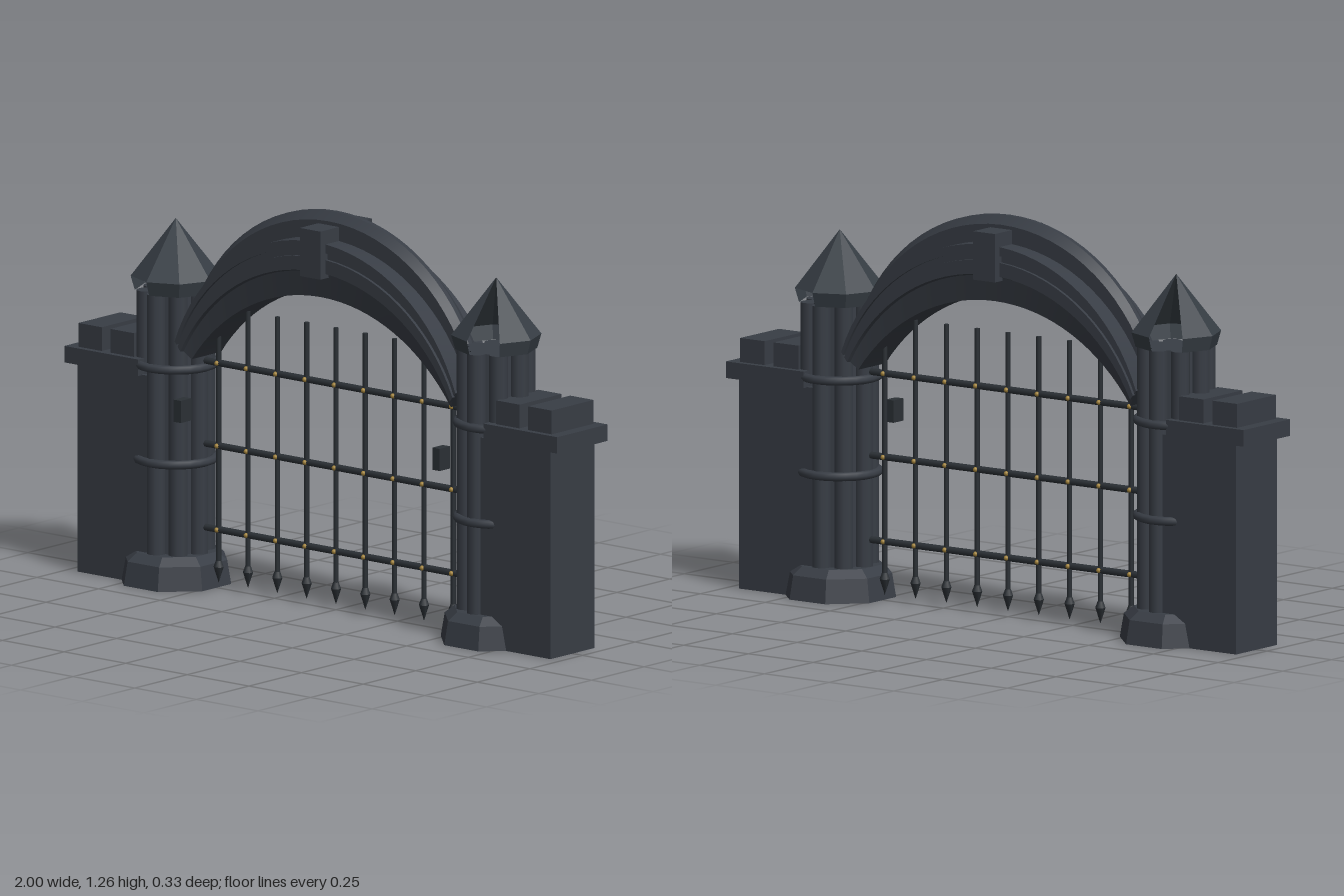
import * as THREE from 'three';
import { toCreasedNormals } from 'three/addons/utils/BufferGeometryUtils.js';

const mat = (name, color, side = THREE.FrontSide) => {
  const m = new THREE.MeshStandardMaterial({ color, side });
  m.name = name;
  return m;
};

export function createModel() {
  const stone = mat('dark stone', 0x383d45);
  const slate = mat('roof slate', 0x373e45, THREE.DoubleSide);
  const iron = mat('iron', 0x2b3035);
  const brass = mat('brass', 0xa5853c);
  const model = new THREE.Group();
  model.name = 'gateway';

  const add = (parent, name, geo, material, x = 0, y = 0, z = 0) => {
    const m = new THREE.Mesh(geo, material);
    m.name = name;
    m.position.set(x, y, z);
    parent.add(m);
    return m;
  };
  const box = (parent, name, x0, x1, y0, y1, z0, z1, material) =>
    add(parent, name, new THREE.BoxGeometry(x1 - x0, y1 - y0, z1 - z0), material,
      (x0 + x1) / 2, (y0 + y1) / 2, (z0 + z1) / 2);
  const flat = (geo) => toCreasedNormals(geo, 0.3);
  const cyl = (rt, rb, h, n, ...rest) => new THREE.CylinderGeometry(rt, rb, h, n, 1, ...rest);
  const step = Math.PI / 4;

  // One side: tower and flanking wall, turned half a circle for the other
  function buildSide(name) {
    const g = new THREE.Group();
    g.name = name;

    // Wall with coping and two merlons
    box(g, 'wall', 0.66, 0.96, 0, 0.66, -0.105, 0.105, stone);
    box(g, 'coping', 0.7, 1, 0.658, 0.71, -0.12, 0.12, stone);
    box(g, 'innerMerlon', 0.735, 0.83, 0.71, 0.785, -0.1, 0.1, stone);
    box(g, 'outerMerlon', 0.865, 0.96, 0.71, 0.785, -0.1, 0.1, stone);

    const t = new THREE.Group();
    t.name = 'tower';
    t.position.x = 0.65;
    g.add(t);

    // Eight-sided plinth
    const plinth = new THREE.LatheGeometry(
      [[0, 0], [0.18, 0], [0.167, 0.075], [0.135, 0.1], [0, 0.1]].map(([r, y]) => new THREE.Vector2(r, y)),
      8, Math.PI / 8);
    add(t, 'plinth', flat(plinth), stone);

    // Clustered shafts around a core
    add(t, 'core', flat(cyl(0.095, 0.095, 0.84, 8)), stone, 0, 0.5);
    for (let i = 0; i < 8; i++) {
      const a = i * step;
      add(t, 'shaft', cyl(0.03, 0.03, 0.84, 10), stone, 0.093 * Math.sin(a), 0.5, 0.093 * Math.cos(a));
    }
    for (const y of [0.39, 0.69]) {
      add(t, 'ringMoulding', new THREE.TorusGeometry(0.121, 0.014, 8, 24), stone, 0, y).rotation.x = Math.PI / 2;
    }

    // Spire with one open facet, over an eave with openings front and back
    add(t, 'spire', flat(cyl(0, 0.14, 0.18, 7, true, step, 7 * step)), slate, 0, 1.055);
    add(t, 'eave', flat(cyl(0.14, 0.127, 0.045, 2, true, step, 2 * step)), slate, 0, 0.9425);
    add(t, 'eave', flat(cyl(0.14, 0.127, 0.045, 4, true, 4 * step, 4 * step)), slate, 0, 0.9425);
    return g;
  }
  const leftSide = buildSide('leftSide');
  const rightSide = buildSide('rightSide');
  rightSide.rotation.y = Math.PI;
  model.add(leftSide, rightSide);

  // Lock blocks on the front of each tower
  for (const s of [-1, 1]) {
    add(model, 'lockBlock', new THREE.BoxGeometry(0.03, 0.07, 0.05), iron, s * 0.525, 0.575, 0.115);
  }

  // Moulded arch: a stepped section swept between an inner and an outer arc
  const half = [[0, 0.07], [0.31, 0.085], [0.33, 0.1], [0.5, 0.1], [0.5, 0.09], [0.58, 0.09],
    [0.58, 0.1], [0.69, 0.1], [0.69, 0.035], [0.9, 0.035], [1, 0.008]];
  const section = [...half, ...half.map(([f, z]) => [f, -z]).reverse()];
  const n = section.length, segs = 32;
  const pos = [], idx = [];
  for (let i = 0; i <= segs; i++) {
    const s = (i / segs) * 2 - 1;
    const a = s * 0.955, b = s * 1.31;
    const inner = [0.644 * Math.sin(a), 0.356 + 0.644 * Math.cos(a)];
    const outer = [0.61 * Math.sin(b), 0.65 + 0.61 * Math.cos(b)];
    for (const [f, z] of section) {
      pos.push(inner[0] + (outer[0] - inner[0]) * f, inner[1] + (outer[1] - inner[1]) * f, z);
    }
  }
  for (let i = 0; i < segs; i++) {
    for (let j = 0; j < n; j++) {
      const p = i * n + j, q = i * n + (j + 1) % n;
      idx.push(p, p + n, q + n, p, q + n, q);
    }
  }
  const end = segs * n;
  for (let j = 0; j < half.length - 1; j++) {
    const p = j, q = j + 1, mq = n - 2 - j, mp = n - 1 - j;
    idx.push(p, q, mq, p, mq, mp);
    idx.push(end + p, end + mq, end + q, end + p, end + mp, end + mq);
  }
  const arch = new THREE.BufferGeometry();
  arch.setAttribute('position', new THREE.Float32BufferAttribute(pos, 3));
  arch.setIndex(idx);
  add(model, 'arch', toCreasedNormals(arch, 0.4), stone);
  box(model, 'keystone', -0.042, 0.042, 1.07, 1.222, -0.123, 0.123, stone);

  // Portcullis: rails, spear-tipped bars and rivets
  const gate = new THREE.Group();
  gate.name = 'portcullis';
  model.add(gate);
  const rails = [0.185, 0.45, 0.712];
  for (const y of rails) {
    add(gate, 'rail', cyl(0.011, 0.011, 1.1, 8), iron, 0, y).rotation.z = Math.PI / 2;
  }
  for (let i = -4; i <= 4; i++) {
    const x = i * 0.119;
    add(gate, 'bar', cyl(0.008, 0.008, 0.83, 8), iron, x, 0.477);
    add(gate, 'spearCollar', cyl(0.009, 0.016, 0.02, 6), iron, x, 0.077);
    add(gate, 'spearTip', cyl(0.016, 0, 0.05, 6), iron, x, 0.042);
    for (const y of rails) {
      for (const s of [-1, 1]) {
        add(gate, 'rivet', new THREE.SphereGeometry(0.008, 8, 6), brass, x, y, s * 0.009);
      }
    }
  }
  return model;
}
